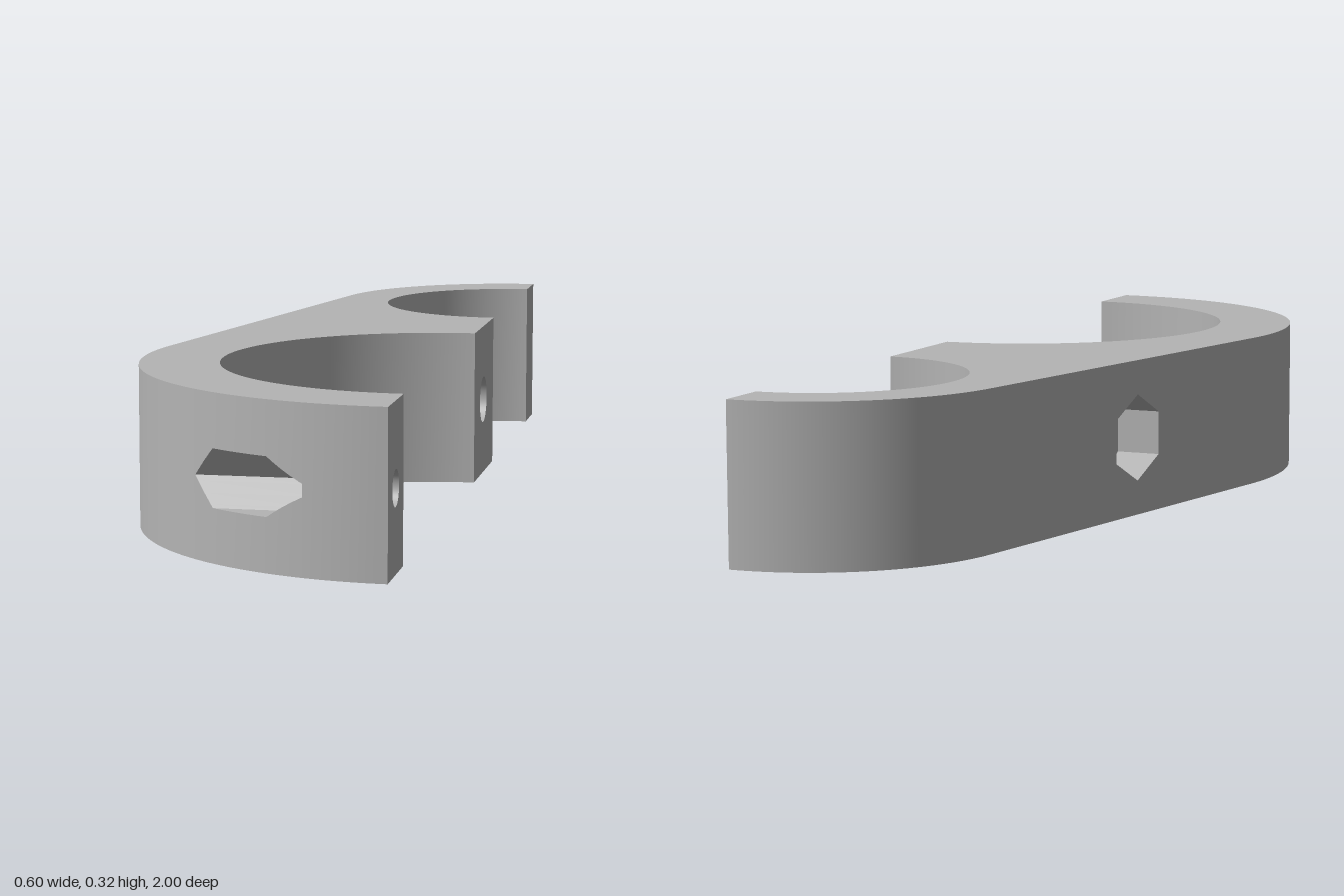
import * as THREE from 'three';

const H = 0.323, MID = H / 2, FACE = 0.3;          // height, bolt height, clamp face x
const BIG = { z: 0.4, outer: 0.6, bore: 0.44 };
const SMALL = { z: -0.6, outer: 0.4, bore: 0.285 };
const SLOPE = SMALL.outer - BIG.outer;             // z part of the straight back's normal
const T = Math.asin(SLOPE / (BIG.z - SMALL.z));    // angle where the arcs meet the straight back

// x of the outer wall at a given z
function outerX(z) {
  const zb = BIG.z + BIG.outer * Math.sin(T), zs = SMALL.z + SMALL.outer * Math.sin(T);
  const arc = (c) => FACE - Math.sqrt(Math.max(0, c.outer ** 2 - (z - c.z) ** 2));
  if (z >= zb) return arc(BIG);
  if (z <= zs) return arc(SMALL);
  return THREE.MathUtils.mapLinear(z, zs, zb, arcX(SMALL), arcX(BIG));
}
const arcX = (c) => FACE - c.outer * Math.cos(T);

// Nut pockets with bolt holes; half() is the half height of the hexagon at dz from its centre
const R1 = 0.065, R2 = 0.09, A2 = R2 * Math.cos(Math.PI / 6);
const FLOOR1 = 0.138;
const CLIP = BIG.z + Math.sqrt(BIG.outer ** 2 - (FACE - FLOOR1) ** 2);
const pockets = [
  { name: 'middle', z: -0.17, hole: 0.05, floor: -0.12, breaks: [-0.17 - A2, -0.17, -0.17 + A2],
    half: (d) => R2 - Math.abs(d) / Math.sqrt(3) },
  { name: 'end', z: 0.92, hole: 0.035, floor: FLOOR1,
    breaks: [0.92 - R1, 0.92 - R1 / 2, 0.92 + R1 / 2, CLIP],
    half: (d) => Math.max(0, Math.min(R1 * Math.sqrt(3) / 2, (R1 - Math.abs(d)) * Math.sqrt(3))) },
];

// Surface between two rows of points
function strip(a, b, flat = false) {
  const n = a.length, index = [];
  for (let i = 0; i < n - 1; i++) index.push(i, i + 1, n + i + 1, i, n + i + 1, n + i);
  let g = new THREE.BufferGeometry();
  g.setAttribute('position', new THREE.Float32BufferAttribute([...a, ...b].flat(), 3));
  g.setIndex(index);
  if (flat) g = g.toNonIndexed();
  g.computeVertexNormals();
  return g;
}

export function createModel() {
  const group = new THREE.Group();
  const grey = new THREE.MeshStandardMaterial({ color: 0xb4b4b4 });
  const add = (name, geometry) => {
    const mesh = new THREE.Mesh(geometry, grey);
    mesh.name = name;
    group.add(mesh);
    return mesh;
  };
  const shapeOf = (pts) => new THREE.Shape(pts.map(([u, v]) => new THREE.Vector2(u, v)));
  const punch = (shape, u, r) => {
    shape.holes.push(new THREE.Path().absarc(u, MID, r, 0, Math.PI * 2, true));
    return shape;
  };
  // Upright wall over a path of [x, z] points
  const wall = (name, path, low, high) => add(name, strip(
    path.map(([x, z]) => [x, low(z), z]), path.map(([x, z]) => [x, high(z), z])));
  const bottom = () => 0, top = () => H;

  // Outer outline, with extra points at the pocket corners
  const zs = pockets.flatMap((p) => p.breaks);
  const N = 56;
  for (let i = 0; i <= N; i++) {
    zs.push(BIG.z + BIG.outer * Math.sin(THREE.MathUtils.lerp(T, Math.PI / 2, i / N)));
    zs.push(SMALL.z + SMALL.outer * Math.sin(THREE.MathUtils.lerp(-Math.PI / 2, T, i / N)));
  }
  zs.sort((a, b) => a - b);
  const outline = (a, b) => zs.filter((z) => z >= a && z <= b).map((z) => [outerX(z), z]);

  // Half-round bores, from +z to -z
  const bore = (c) => Array.from({ length: 65 }, (_, i) => {
    const t = Math.PI * i / 64;
    return [FACE - c.bore * Math.sin(t), c.z + c.bore * Math.cos(t)];
  });
  const bigBore = bore(BIG), smallBore = bore(SMALL);
  wall('largeBore', bigBore, bottom, top);
  wall('smallBore', smallBore, bottom, top);

  // Top and bottom faces
  const plan = [...outline(-2, 2), ...bigBore, ...smallBore];
  add('topFace', new THREE.ShapeGeometry(shapeOf(plan.map(([x, z]) => [x, -z]))).rotateX(-Math.PI / 2))
    .position.y = H;
  add('bottomFace', new THREE.ShapeGeometry(shapeOf(plan)).rotateX(Math.PI / 2));

  // Flat clamp faces
  const faces = [
    ['largeEndFace', BIG.z + BIG.bore, 1, pockets[1]],
    ['middleFace', SMALL.z + SMALL.bore, BIG.z - BIG.bore, pockets[0]],
    ['smallEndFace', -1, SMALL.z - SMALL.bore, null],
  ];
  for (const [name, a, b, p] of faces) {
    const shape = shapeOf([[-b, 0], [-a, 0], [-a, H], [-b, H]]);
    if (p) punch(shape, -p.z, p.hole);
    add(name, new THREE.ShapeGeometry(shape, 24).rotateY(Math.PI / 2)).position.x = FACE;
  }

  // Outer wall, opened at each nut pocket
  let start = -2;
  for (const p of pockets) {
    const a = p.breaks[0], b = p.breaks[p.breaks.length - 1];
    const span = outline(a, b);
    const lower = (z) => MID - p.half(z - p.z), upper = (z) => MID + p.half(z - p.z);
    wall('outerWall', outline(start, a), bottom, top);
    wall(p.name + 'WallBelowPocket', span, bottom, lower);
    wall(p.name + 'WallAbovePocket', span, upper, top);
    start = b;

    // Hexagonal pocket sides and floor
    const rim = [...span.map(([, z]) => [z, upper(z)]).reverse(), ...span.map(([, z]) => [z, lower(z)])];
    const loop = [...rim, rim[0]];
    add(p.name + 'PocketSides', strip(
      loop.map(([z, y]) => [outerX(z), y, z]), loop.map(([z, y]) => [p.floor, y, z]), true));
    add(p.name + 'PocketFloor', new THREE.ShapeGeometry(punch(shapeOf(rim), p.z, p.hole), 24)
      .rotateY(-Math.PI / 2)).position.x = p.floor;

    // Round bolt hole
    const ring = (x) => Array.from({ length: 49 }, (_, i) => {
      const t = Math.PI * 2 * i / 48;
      return [x, MID + p.hole * Math.sin(t), p.z + p.hole * Math.cos(t)];
    });
    add(p.name + 'BoltHole', strip(ring(p.floor), ring(FACE)));
  }
  wall('outerWall', outline(start, 2), bottom, top);
  return group;
}
